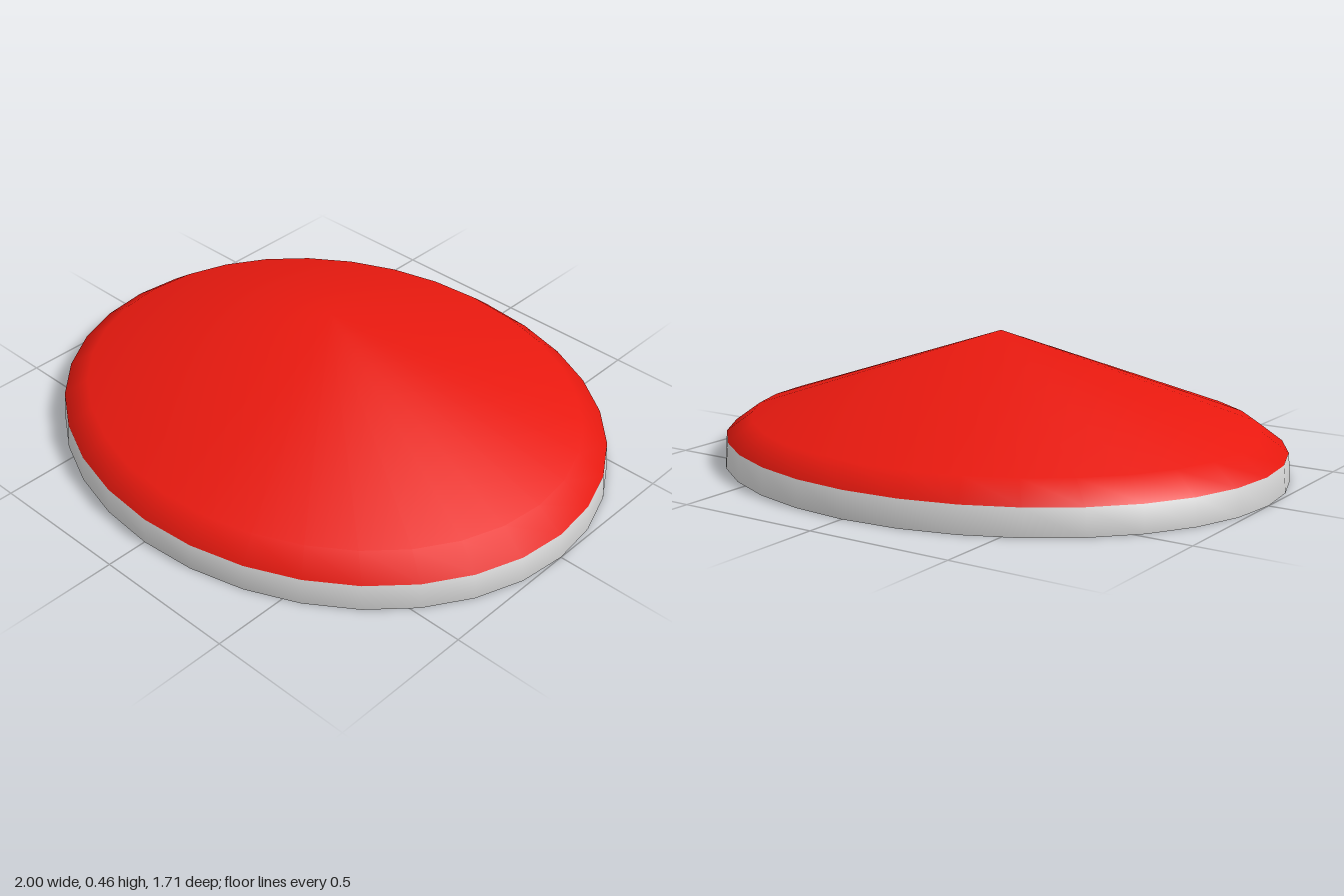
import * as THREE from 'three';
import { mergeVertices } from 'three/addons/utils/BufferGeometryUtils.js';

const RIM_TOP = 0.09;
const DEPTH_RATIO = 0.855;

// Whole oval shell, open below, with normals smoothed over the seam and the peak
function shellGeometry() {
  const profile = [[1, 0], [0.992, RIM_TOP], [0.9, 0.155], [0, 0.455]]
    .map(([r, y]) => new THREE.Vector2(r, y));
  let geo = new THREE.LatheGeometry(profile, 32);
  geo.scale(1, 1, DEPTH_RATIO);
  geo.deleteAttribute('uv');
  geo.deleteAttribute('normal');
  geo = mergeVertices(geo, 1e-4);
  geo.computeVertexNormals();
  return geo;
}

// Keep only the triangles whose middle height passes the test
function band(geo, test) {
  const part = geo.clone();
  const { position } = geo.attributes;
  const source = geo.index.array;
  const kept = [];
  for (let i = 0; i < source.length; i += 3) {
    const [a, b, c] = [source[i], source[i + 1], source[i + 2]];
    if (a === b || b === c || a === c) continue;
    const y = (position.getY(a) + position.getY(b) + position.getY(c)) / 3;
    if (test(y)) kept.push(a, b, c);
  }
  part.setIndex(kept);
  return part;
}

export function createModel() {
  const group = new THREE.Group();
  group.name = 'shallowCanopy';
  const shell = shellGeometry();

  const add = (name, test, color) => {
    const material = new THREE.MeshStandardMaterial({ color, side: THREE.DoubleSide });
    const mesh = new THREE.Mesh(band(shell, test), material);
    mesh.name = name;
    group.add(mesh);
  };

  // Plain band around the bottom
  add('rimBand', (y) => y < RIM_TOP, 0xcccccc);
  // Bevelled edge and cone above it
  add('roof', (y) => y >= RIM_TOP, 0xe8190f);

  return group;
}
